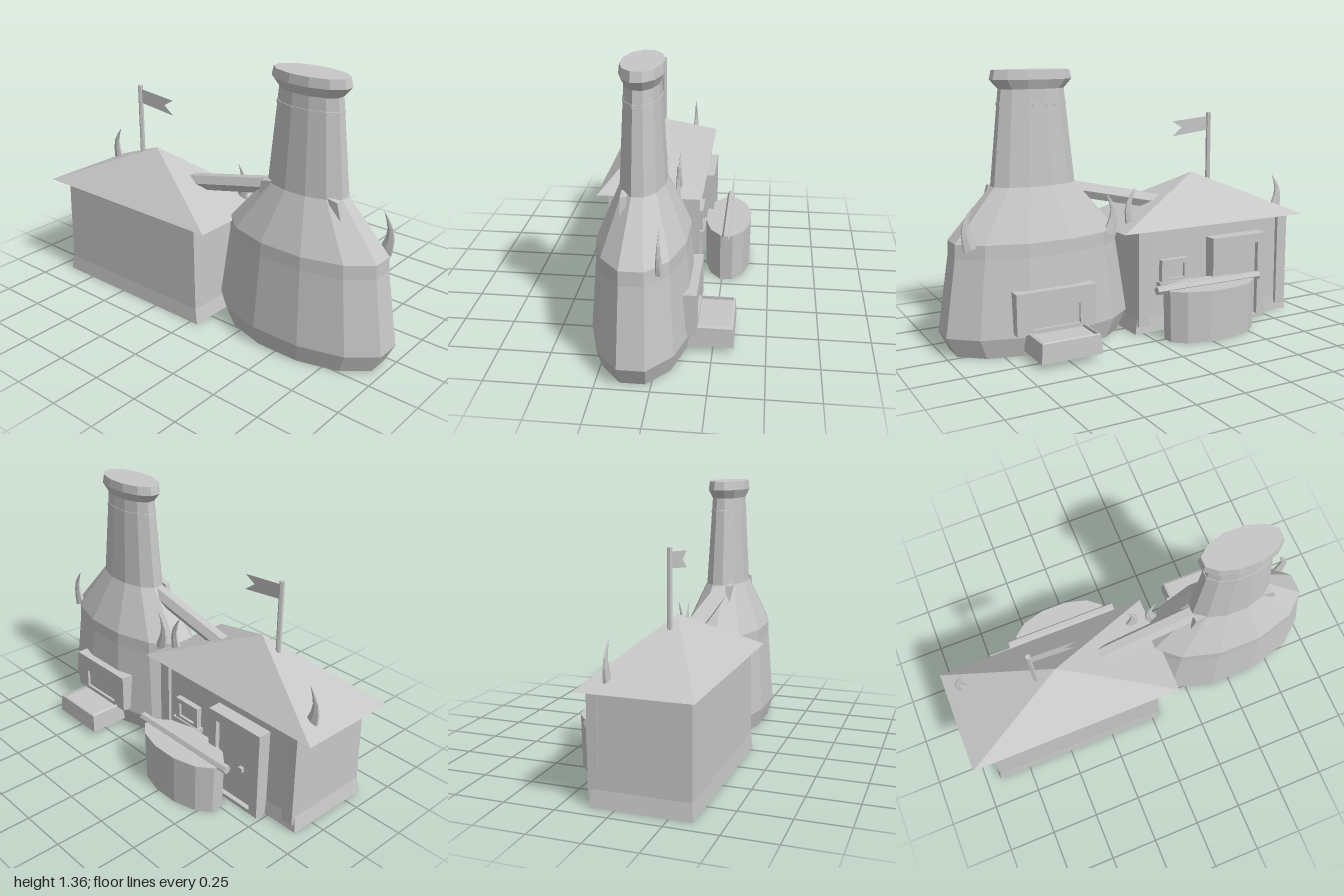
import * as THREE from 'three';

const stone = new THREE.MeshStandardMaterial({ color: 0xc6c6c6, flatShading: true });
stone.name = 'plain grey';
const thin = new THREE.MeshStandardMaterial({ color: 0xc6c6c6, flatShading: true, side: THREE.DoubleSide });
thin.name = 'plain grey, two-sided';

export function createModel() {
  const model = new THREE.Group();
  const add = (parent, name, geometry, x = 0, y = 0, z = 0, material = stone) => {
    const mesh = new THREE.Mesh(geometry, material);
    mesh.name = name;
    mesh.position.set(x, y, z);
    parent.add(mesh);
    return mesh;
  };
  const group = (name) => {
    const g = new THREE.Group();
    g.name = name;
    model.add(g);
    return g;
  };
  const points = (list) => list.map(([x, y]) => new THREE.Vector2(x, y));
  // Box given by its limits
  const box = (parent, name, x0, x1, y0, y1, z0, z1) =>
    add(parent, name, new THREE.BoxGeometry(x1 - x0, y1 - y0, z1 - z0), (x0 + x1) / 2, (y0 + y1) / 2, (z0 + z1) / 2);
  // Turned solid whose flat sides face the axes; radii are measured to the flats
  const turned = (profile, sides, sx, sz) => {
    const k = 1 / Math.cos(Math.PI / sides);
    return new THREE.LatheGeometry(points(profile.map(([r, y]) => [r * k, y])), sides, Math.PI / sides).scale(sx, 1, sz);
  };
  // Rectangular frame standing on the back side
  const frame = (parent, name, x0, x1, y0, y1, z0, z1, t, bottom = t) => {
    const s = new THREE.Shape(points([[x0, y0], [x1, y0], [x1, y1], [x0, y1]]));
    s.holes.push(new THREE.Path(points([[x0 + t, y0 + bottom], [x0 + t, y1 - t], [x1 - t, y1 - t], [x1 - t, y0 + bottom]])));
    add(parent, name, new THREE.ExtrudeGeometry(s, { depth: z1 - z0, bevelEnabled: false }), 0, 0, z0);
  };

  // House: walls with a hollow flared foot, and a pyramid roof
  const house = group('house');
  const wallProfile = [[0, 0.06], [0.995, 0.06], [1.03, 0], [0.998, 0.08], [0.98, 0.54], [0, 0.54]];
  add(house, 'walls', turned(wallProfile, 4, 0.472, 0.233), -0.44, 0, 0.12);
  add(house, 'roof', turned([[0, 0.537], [1, 0.54], [0, 0.785]], 4, 0.5625, 0.27), -0.44, 0, 0.12);
  for (const s of [-1, 1]) box(house, 'backPost', -0.44 + s * 0.44 - 0.031, -0.44 + s * 0.44 + 0.031, 0.04, 0.54, -0.13, -0.08);

  // Back door
  frame(house, 'doorFrame', -0.73, -0.39, 0, 0.47, -0.18, -0.1, 0.05, 0.02);
  box(house, 'door', -0.69, -0.43, 0.01, 0.43, -0.155, -0.1);
  box(house, 'doorKnob', -0.615, -0.59, 0.2, 0.225, -0.172, -0.14);

  // Back window
  frame(house, 'windowFrame', -0.26, -0.1, 0.255, 0.38, -0.14, -0.1, 0.025);
  box(house, 'windowPane', -0.24, -0.12, 0.27, 0.36, -0.125, -0.1);
  box(house, 'windowSill', -0.275, -0.085, 0.24, 0.265, -0.148, -0.1);

  // Flag on the roof
  const flag = group('flag');
  add(flag, 'flagPole', new THREE.CylinderGeometry(0.013, 0.013, 0.39, 6), -0.548, 0.91, 0.12);
  const pennant = points([[-0.54, 1.01], [-0.315, 0.985], [-0.375, 1.03], [-0.315, 1.065], [-0.54, 1.085]]);
  add(flag, 'pennant', new THREE.ShapeGeometry(new THREE.Shape(pennant)), 0, 0, 0.12, thin);

  // Oval hollow tower with shoulder, neck and rim
  const tower = group('tower');
  const towerProfile = [[0.435, 0], [0.485, 0.1], [0.427, 0.48], [0.425, 0.55],
    [0.212, 0.8], [0.163, 1.265], [0.203, 1.31], [0.193, 1.355], [0, 1.355]];
  add(tower, 'towerBody', turned(towerProfile, 12, 1, 0.49), 0.512, 0, 0.083, thin);
  add(tower, 'neckBand', turned([[0.16, 1.185], [0.175, 1.187], [0.173, 1.203], [0.16, 1.205]], 12, 1, 0.49), 0.512, 0, 0.083);

  // Small fins on the front of the shoulder
  for (const s of [-1, 1]) {
    const outline = points([[0.16, 0.81], [0.215, 0.8], [0.24, 0.705], [0.195, 0.73]].map(([x, y]) => [s * x, y]));
    add(tower, 'shoulderFin', new THREE.ExtrudeGeometry(new THREE.Shape(outline), { depth: 0.03, bevelEnabled: false }), 0.512, 0, 0.13);
  }

  // Slanted duct between roof and tower
  const ductStart = new THREE.Vector3(-0.22, 0.642, 0.095);
  const ductEnd = new THREE.Vector3(0.36, 0.771, 0.095);
  const duct = add(model, 'duct', new THREE.CylinderGeometry(0.044, 0.044, ductStart.distanceTo(ductEnd), 6));
  duct.position.lerpVectors(ductStart, ductEnd, 0.5);
  duct.quaternion.setFromUnitVectors(new THREE.Vector3(0, 1, 0), ductEnd.clone().sub(ductStart).normalize());

  // Curved horns: a tube whose rings shrink towards the tip
  const horn = (x, y, side) => {
    const curve = new THREE.CatmullRomCurve3([[0, 0], [0.022, 0.07], [0.022, 0.13], [-0.015, 0.205]]
      .map(([dx, dy]) => new THREE.Vector3(side * dx, dy, 0)));
    const rings = 5, sides = 6;
    const geometry = new THREE.TubeGeometry(curve, rings, 0.04, sides);
    const pos = geometry.attributes.position;
    const v = new THREE.Vector3();
    for (let i = 0; i < pos.count; i++) {
      const t = Math.floor(i / (sides + 1)) / rings;
      v.fromBufferAttribute(pos, i).lerp(curve.getPointAt(t), t * 0.98);
      pos.setXYZ(i, v.x, v.y, v.z * 0.45);
    }
    add(model, 'horn', geometry, x, y, -0.03);
  };
  horn(-0.895, 0.55, -1);
  horn(0.012, 0.55, 1);
  horn(0.148, 0.53, -1);
  horn(0.877, 0.53, 1);

  // Oven mouth and hollow tray behind the tower
  const oven = group('oven');
  frame(oven, 'ovenFrame', 0.3, 0.715, 0.12, 0.325, -0.178, -0.1, 0.085, 0.02);
  box(oven, 'ovenDoor', 0.37, 0.645, 0.13, 0.26, -0.163, -0.1);
  const trayProfile = [[0, 0.06], [0.93, 0.06], [1.03, 0.03], [0.98, 0.125], [0.9, 0.13], [0.9, 0.115], [0, 0.115]];
  add(oven, 'tray', turned(trayProfile, 4, 0.153, 0.104), 0.508, 0, -0.242);

  // Oval hollow vat with a pole across the top
  const vat = group('vat');
  add(vat, 'vatBody', turned([[0.25, 0], [0.258, 0.265], [0, 0.265]], 12, 1, 0.475), -0.305, 0, -0.272, thin);
  const pole = add(vat, 'vatPole', new THREE.CylinderGeometry(0.022, 0.022, 0.625, 6), -0.303, 0.268, -0.27);
  pole.rotation.z = Math.PI / 2;

  return model;
}
